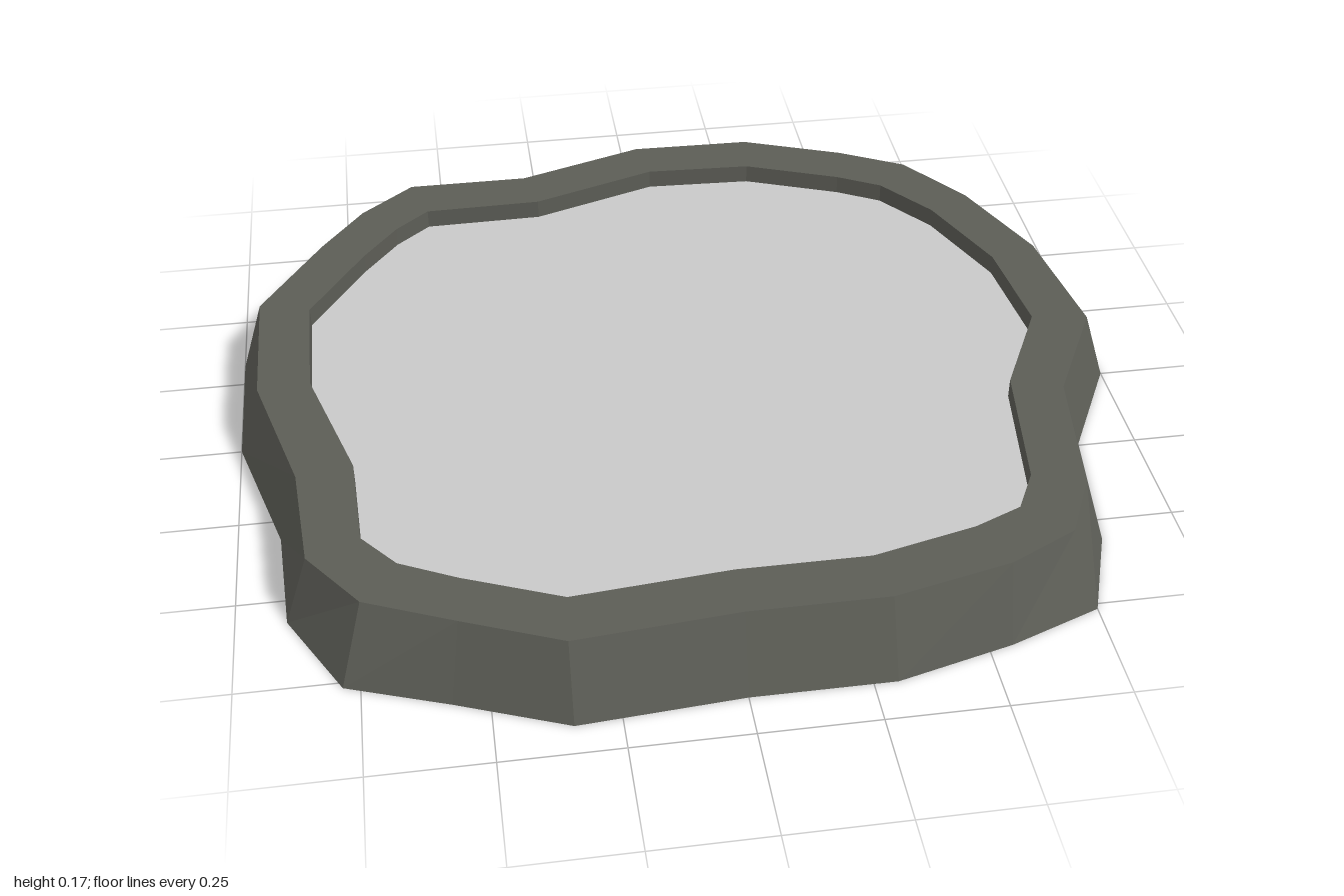
import * as THREE from 'three';

// Outlines as x, z pairs, running from the back round past the left side
const FOOT = [
  0.01, -0.94, 0.3, -0.93, 0.55, -0.835, 0.73, -0.765, 0.85, -0.55, 0.955, -0.305,
  1, 0, 0.87, 0.245, 0.825, 0.56, 0.75, 0.765, 0.55, 0.84, 0.3, 0.905,
  0, 0.905, -0.345, 0.93, -0.575, 0.84, -0.785, 0.765, -0.895, 0.565, -0.91, 0.31,
  -1, 0, -1, -0.32, -0.875, -0.525, -0.75, -0.73, -0.575, -0.84, -0.29, -0.84,
];
const RIM_OUTER = [
  0.01, -0.89, 0.295, -0.885, 0.53, -0.795, 0.68, -0.715, 0.8, -0.55, 0.905, -0.305,
  0.945, 0, 0.815, 0.245, 0.77, 0.56, 0.7, 0.705, 0.55, 0.78, 0.295, 0.84,
  0, 0.84, -0.345, 0.87, -0.55, 0.785, -0.735, 0.705, -0.84, 0.565, -0.86, 0.31,
  -0.945, 0, -0.945, -0.32, -0.8, -0.55, -0.7, -0.685, -0.575, -0.79, -0.29, -0.79,
];
const RIM_INNER = [
  0.03, -0.775, 0.28, -0.765, 0.5, -0.68, 0.6, -0.625, 0.7, -0.495, 0.795, -0.27,
  0.82, -0.02, 0.705, 0.205, 0.66, 0.525, 0.61, 0.62, 0.505, 0.665, 0.28, 0.72,
  0, 0.72, -0.335, 0.75, -0.54, 0.665, -0.66, 0.605, -0.73, 0.52, -0.74, 0.29,
  -0.83, -0.01, -0.83, -0.29, -0.7, -0.495, -0.62, -0.6, -0.54, -0.67, -0.265, -0.675,
];
const RIM_Y = 0.17;
const WATER_Y = 0.125;

// Closed band of flat facets joining two outlines at two heights
function band(a, ya, b, yb) {
  const n = a.length / 2;
  const pos = [];
  for (let i = 0; i < n; i++) {
    const j = (i + 1) % n;
    const a0 = [a[2 * i], ya, a[2 * i + 1]], a1 = [a[2 * j], ya, a[2 * j + 1]];
    const b0 = [b[2 * i], yb, b[2 * i + 1]], b1 = [b[2 * j], yb, b[2 * j + 1]];
    pos.push(...a0, ...b0, ...a1, ...a1, ...b0, ...b1);
  }
  const g = new THREE.BufferGeometry();
  g.setAttribute('position', new THREE.Float32BufferAttribute(pos, 3));
  g.computeVertexNormals();
  return g;
}

export function createModel() {
  const stone = new THREE.MeshStandardMaterial({ color: 0x5c5d56, side: THREE.DoubleSide, flatShading: true });
  stone.name = 'stone grey';
  const water = new THREE.MeshStandardMaterial({ color: 0xc8c8c8, side: THREE.DoubleSide, flatShading: true });
  water.name = 'pale water';

  const group = new THREE.Group();
  group.name = 'pond';
  const add = (name, geometry, material) => {
    const mesh = new THREE.Mesh(geometry, material);
    mesh.name = name;
    group.add(mesh);
    return mesh;
  };

  // Stone border, open underneath
  add('outerBank', band(FOOT, 0, RIM_OUTER, RIM_Y), stone);
  add('rim', band(RIM_OUTER, RIM_Y, RIM_INNER, RIM_Y), stone);
  add('innerBank', band(RIM_INNER, RIM_Y, RIM_INNER, WATER_Y), stone);

  // Water sheet filling the inner outline
  const points = [];
  for (let i = 0; i < RIM_INNER.length; i += 2) points.push(new THREE.Vector2(RIM_INNER[i], -RIM_INNER[i + 1]));
  const sheet = new THREE.ShapeGeometry(new THREE.Shape(points)).rotateX(-Math.PI / 2);
  add('waterSurface', sheet, water).position.y = WATER_Y;

  return group;
}
